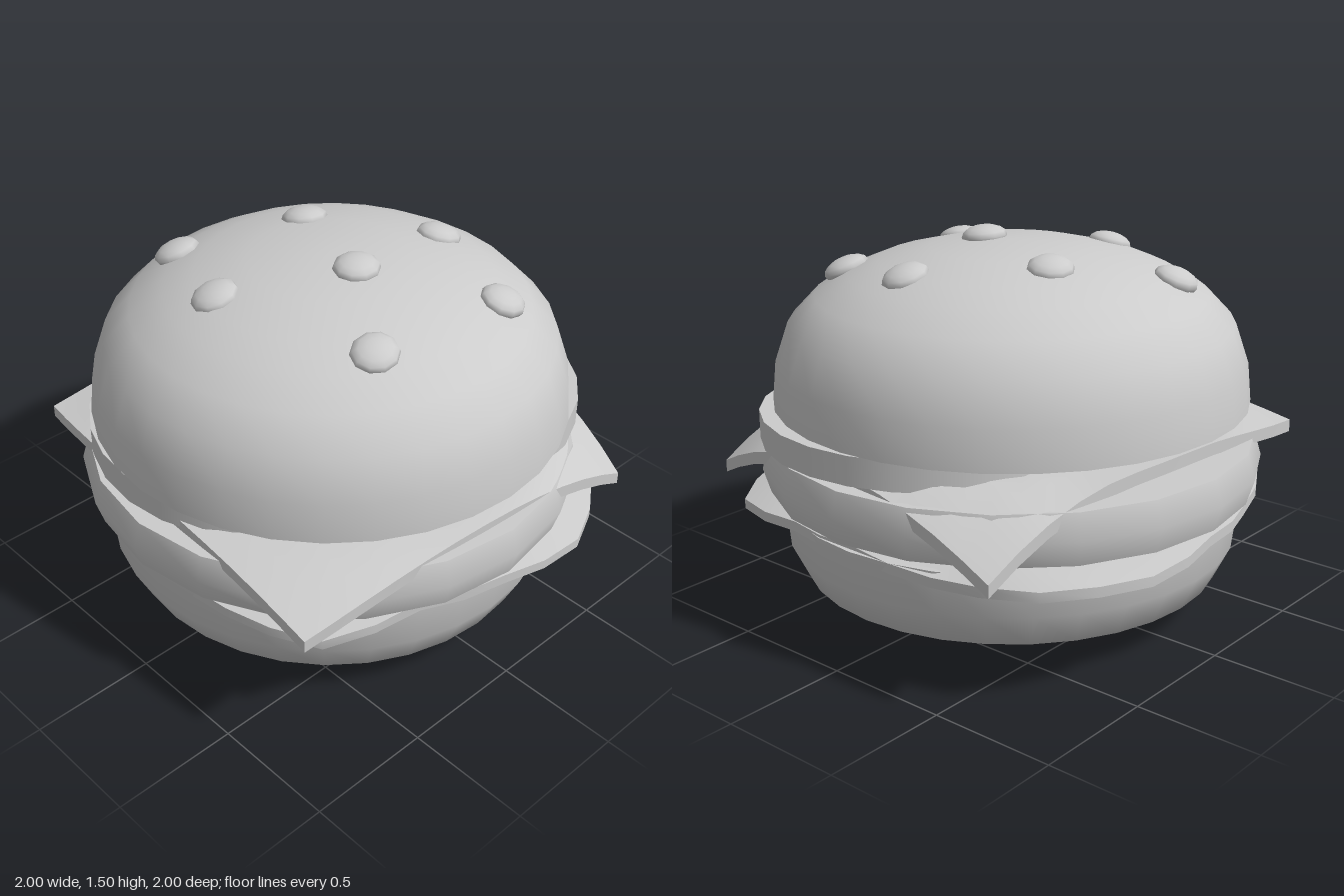
import * as THREE from 'three';
import { toCreasedNormals } from 'three/addons/utils/BufferGeometryUtils.js';

const material = new THREE.MeshStandardMaterial({ color: 0xcccccc });

function add(group, name, geometry) {
  const mesh = new THREE.Mesh(geometry, material);
  mesh.name = name;
  group.add(mesh);
  return mesh;
}

// Revolved solid; the profile runs from the bottom axis point to the top one
function turned(profile, segments) {
  return new THREE.LatheGeometry(profile.map(([r, y]) => new THREE.Vector2(r, y)), segments);
}

// Moves every vertex by a rule
function reshape(geometry, rule) {
  const pos = geometry.attributes.position;
  const p = new THREE.Vector3();
  for (let i = 0; i < pos.count; i++) {
    rule(p.fromBufferAttribute(pos, i));
    pos.setXYZ(i, p.x, p.y, p.z);
  }
  geometry.computeVertexNormals();
  return geometry;
}

const mix = THREE.MathUtils.lerp;

// Wavy leaf: rim radius and rim height every 22.5 degrees, from +x towards +z
function lettuceGeometry() {
  const radii = [0.90, 0.93, 1.08, 1.06, 0.95, 0.92, 1.02, 0.94, 0.89, 0.93, 1.02, 0.95, 0.96, 1.07, 1.11, 0.94];
  const drops = [0.02, 0.03, 0.07, 0.06, 0.02, 0.00, 0.04, 0.03, 0.01, 0.02, 0.00, 0.02, 0.01, 0.02, 0.01, 0.05];
  const at = (table, a) => {
    const i = Math.floor(a), n = table.length;
    return mix(table[i % n], table[(i + 1) % n], a - i);
  };
  const leaf = turned([[0, 0.452], [0.75, 0.452], [0.88, 0.452], [1, 0.445], [1, 0.485],
    [0.88, 0.497], [0.75, 0.497], [0, 0.497]], 32);
  reshape(leaf, (p) => {
    const r = Math.hypot(p.x, p.z);
    const a = ((Math.atan2(p.z, p.x) / (Math.PI * 2) + 1) % 1) * 16;
    const scale = at(radii, a);
    p.x *= scale;
    p.z *= scale;
    p.y -= at(drops, a) * THREE.MathUtils.clamp((r - 0.75) / 0.25, 0, 1);
  });
  return toCreasedNormals(leaf, 0.8);
}

// Square slice whose corners fold down over the patty
function cheeseGeometry() {
  // Corners as [x, z, drop]
  const backRight = [-0.77, -0.83, 0.06], backLeft = [0.94, -0.69, 0.23];
  const frontRight = [-0.88, 0.80, 0.14], frontLeft = [0.73, 0.91, 0.22];
  return reshape(new THREE.BoxGeometry(2, 0.05, 2, 12, 1, 12), (p) => {
    const u = (p.x + 1) / 2, v = (p.z + 1) / 2;
    const [x, z, drop] = [0, 1, 2].map((k) => mix(
      mix(backRight[k], backLeft[k], u), mix(frontRight[k], frontLeft[k], u), v));
    const bulge = 1 + 0.06 * (1 - (p.x * p.z) ** 2);
    const fold = Math.max(0, (Math.hypot(x, z) * bulge - 0.84) / 0.33);
    p.set(x * bulge, p.y + 0.73 - drop * fold ** 1.3, z * bulge);
  });
}

export function createModel() {
  const burger = new THREE.Group();
  burger.name = 'burger';

  // Buns
  add(burger, 'bottomBun', toCreasedNormals(turned([[0, 0], [0.32, 0.02], [0.67, 0.07],
    [0.84, 0.145], [0.905, 0.28], [0.92, 0.45], [0, 0.45]], 32), 0.9));
  add(burger, 'topBun', toCreasedNormals(turned([[0, 0.84], [0.945, 0.84], [0.93, 0.99],
    [0.875, 1.15], [0.77, 1.26], [0.64, 1.335], [0.52, 1.385], [0.32, 1.435], [0, 1.46]], 32), 0.9));

  // Fillings
  add(burger, 'lettuce', lettuceGeometry());
  add(burger, 'patty', toCreasedNormals(turned([[0, 0.5], [0.97, 0.5], [1, 0.6],
    [0.97, 0.7], [0, 0.7]], 20), 0.9));
  add(burger, 'cheese', cheeseGeometry());

  // Two overlapping tomato slices
  [[0.365, 0.14, 0.777], [-0.33, -0.11, 0.774]].forEach(([x, z, y], i) => {
    const slice = add(burger, `tomatoSlice${i + 1}`, new THREE.CylinderGeometry(1, 1, 0.115, 24));
    slice.scale.set(0.6, 1, 0.67);
    slice.position.set(x, y, z);
  });

  // Seeds lying on the dome
  const seeds = new THREE.Group();
  seeds.name = 'seeds';
  burger.add(seeds);
  const up = new THREE.Vector3(0, 1, 0);
  [[-0.28, -0.58], [0.17, -0.33], [-0.45, -0.14], [0, 0.14], [0.5, 0.09], [-0.26, 0.5], [0.37, 0.54]]
    .forEach(([x, z], i) => {
      const seed = add(seeds, `seed${i + 1}`, new THREE.SphereGeometry(1, 10, 8));
      seed.scale.set(0.095, 0.045, 0.088);
      seed.position.set(x, 1.46 - 0.3 * (x * x + z * z), z);
      seed.quaternion.setFromUnitVectors(up, new THREE.Vector3(0.6 * x, 1, 0.6 * z).normalize());
    });

  return burger;
}
